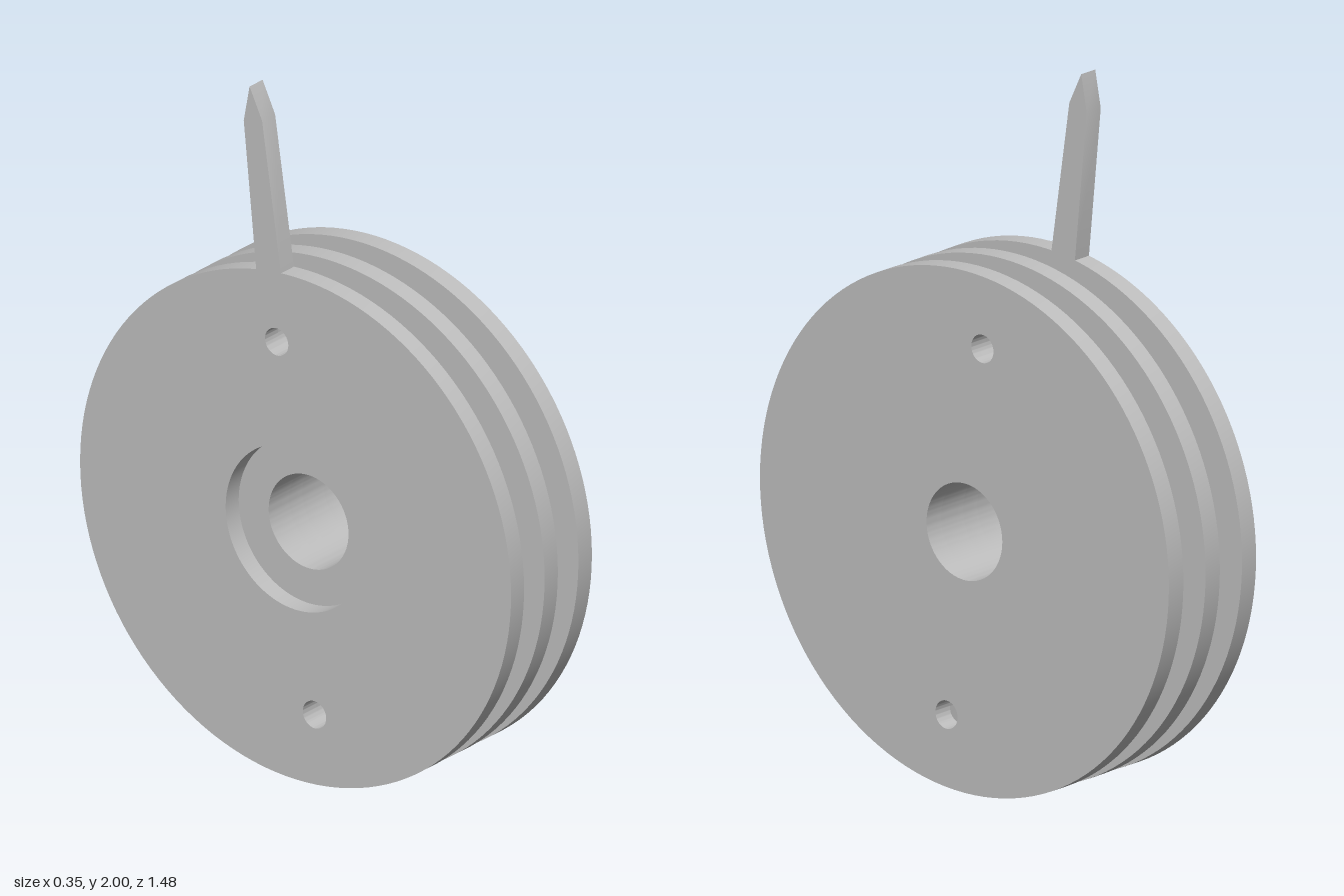
import * as THREE from 'three';
import { toCreasedNormals } from 'three/addons/utils/BufferGeometryUtils.js';

const AXIS_Y = 0.74;
const FLANGE_R = 0.74, HUB_R = 0.645, BORE_R = 0.137, RECESS_R = 0.24;
const PIN = { x: 0.065, y: 0.532, r: 0.04 }; // small through hole, mirrored through the axis
const TAU = Math.PI * 2;

function circle(Type, x, y, r) {
  return new Type().absarc(x, y, r, 0, TAU, false);
}

// Profiles are drawn in a plane where +X becomes -z, relative to the wheel axis
function flangeShape(boreR) {
  const s = circle(THREE.Shape, 0, 0, FLANGE_R);
  s.holes.push(circle(THREE.Path, 0, 0, boreR),
    circle(THREE.Path, PIN.x, PIN.y, PIN.r),
    circle(THREE.Path, -PIN.x, -PIN.y, PIN.r));
  return s;
}

// Groove floor with a cable slot opening down into the small hole
function hubShape() {
  const left = 0.06, right = PIN.x + PIN.r;
  const s = new THREE.Shape();
  s.absarc(0, 0, HUB_R, Math.acos(left / HUB_R), Math.acos(right / HUB_R) + TAU, false);
  s.lineTo(right, PIN.y);
  s.absarc(PIN.x, PIN.y, PIN.r, 0, Math.acos((left - PIN.x) / PIN.r), true);
  s.closePath();
  s.holes.push(circle(THREE.Path, 0, 0, BORE_R),
    circle(THREE.Path, -PIN.x, -PIN.y, PIN.r));
  return s;
}

export function createModel() {
  const group = new THREE.Group();
  const grey = new THREE.MeshStandardMaterial({ color: 0xbfbfbf });
  grey.name = 'plain grey';

  // Extrude a profile along x between x0 and x1
  function slab(name, shape, x0, x1, turn = 0) {
    const geo = new THREE.ExtrudeGeometry(shape, { depth: x1 - x0, bevelEnabled: false, curveSegments: 64 });
    geo.rotateZ(turn);
    geo.rotateY(Math.PI / 2);
    const mesh = new THREE.Mesh(toCreasedNormals(geo, 0.5), grey);
    mesh.name = name;
    mesh.position.set(x0, AXIS_Y, 0);
    group.add(mesh);
  }

  // Three flanges; the outer one on the pointer side carries the recess
  slab('pointerFlange', flangeShape(RECESS_R), -0.177, -0.12);
  slab('middleFlange', flangeShape(BORE_R), -0.03, 0.028);
  slab('outerFlange', flangeShape(BORE_R), 0.118, 0.177);

  // Two groove hubs, the second turned half round
  slab('pointerSideHub', hubShape(), -0.12, -0.03);
  slab('outerSideHub', hubShape(), 0.028, 0.118, Math.PI);

  // Pointer arm rising from the rim
  const arm = new THREE.Shape([
    [0.05, 0.735], [0.135, 0.725], [0.178, 1.155], [0.158, 1.26], [0.115, 1.17],
  ].map(([x, y]) => new THREE.Vector2(x, y)));
  slab('pointer', arm, -0.177, -0.12);

  return group;
}
